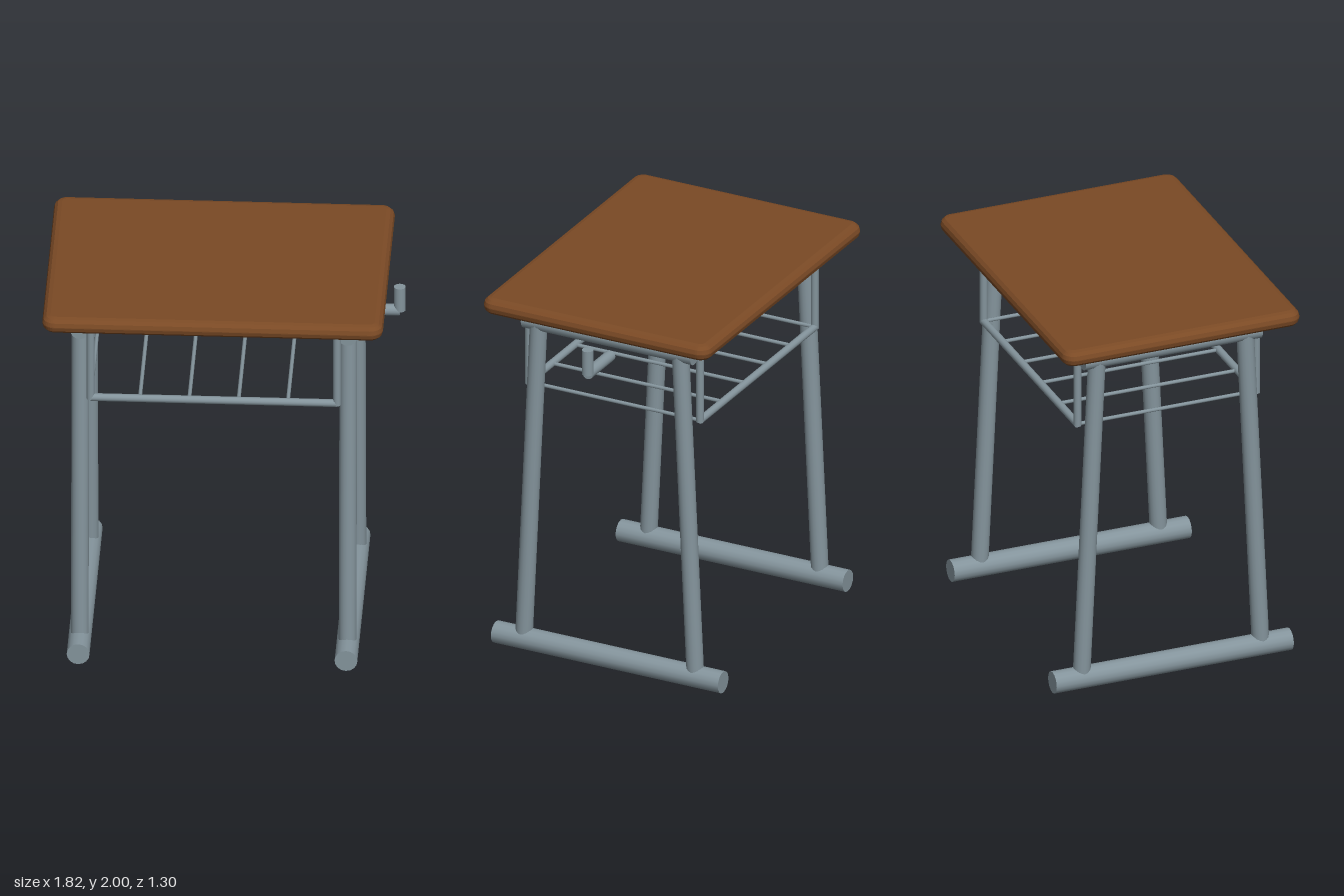
import * as THREE from 'three';

export function createModel() {
  const wood = new THREE.MeshStandardMaterial({ color: 0x7b4a25 });
  wood.name = 'brownWood';
  const steel = new THREE.MeshStandardMaterial({ color: 0x84949c });
  steel.name = 'greySteel';

  const desk = new THREE.Group();
  desk.name = 'desk';

  // Straight round bar between two points
  function bar(parent, name, a, b, radius, sides = 16) {
    const from = new THREE.Vector3(...a);
    const dir = new THREE.Vector3(...b).sub(from);
    const mesh = new THREE.Mesh(new THREE.CylinderGeometry(radius, radius, dir.length(), sides), steel);
    mesh.position.copy(from).addScaledVector(dir, 0.5);
    mesh.quaternion.setFromUnitVectors(new THREE.Vector3(0, 1, 0), dir.normalize());
    mesh.name = name;
    parent.add(mesh);
  }

  // Tabletop: rounded slab with a bevelled rim
  const bevel = 0.042, w = 0.865 - bevel, d = 0.65 - bevel, r = 0.025;
  const outline = new THREE.Shape();
  outline.absarc(w - r, d - r, r, 0, Math.PI / 2);
  outline.absarc(-w + r, d - r, r, Math.PI / 2, Math.PI);
  outline.absarc(-w + r, -d + r, r, Math.PI, Math.PI * 1.5);
  outline.absarc(w - r, -d + r, r, Math.PI * 1.5, Math.PI * 2);
  const slab = new THREE.ExtrudeGeometry(outline, {
    depth: 0.004, bevelThickness: 0.041, bevelSize: bevel, bevelSegments: 3, curveSegments: 4,
  });
  slab.rotateX(-Math.PI / 2);
  const top = new THREE.Mesh(slab, wood);
  top.name = 'tabletop';
  top.position.set(-0.045, 1.955, 0);
  desk.add(top);

  // Side frames: floor bar, two leaning legs and a top rail
  for (const [side, x] of [['left', 0.635], ['right', -0.725]]) {
    const frame = new THREE.Group();
    frame.name = side + 'Frame';
    bar(frame, 'floorBar', [x, 0.058, -0.65], [x, 0.058, 0.65], 0.058);
    bar(frame, 'topRail', [x, 1.85, -0.485], [x, 1.85, 0.485], 0.047);
    for (const s of [1, -1]) {
      bar(frame, s > 0 ? 'frontLeg' : 'backLeg', [x, 0.08, s * 0.49], [x, 1.875, s * 0.405], 0.045);
    }
    desk.add(frame);
  }

  // Wire book rack: posts, long rods and cross wires
  const rack = new THREE.Group();
  rack.name = 'bookRack';
  const x0 = -0.67, x1 = 0.582, rackY = 1.47;
  for (const z of [0.49, -0.49]) {
    bar(rack, 'rackRod', [x0, rackY, z], [x1, rackY, z], 0.02, 12);
    for (const x of [x0, x1]) bar(rack, 'rackPost', [x, 1.462, z], [x, 1.85, z], 0.02, 12);
  }
  for (let i = 0; i < 6; i++) {
    const x = x0 + (x1 - x0) * i / 5;
    bar(rack, 'rackWire', [x, rackY, -0.49], [x, rackY, 0.49], 0.01, 8);
  }
  desk.add(rack);

  // Bag hook at the left side
  const hook = new THREE.Group();
  hook.name = 'bagHook';
  bar(hook, 'hookArm', [0.63, 1.745, 0], [0.875, 1.745, 0], 0.03);
  bar(hook, 'hookTip', [0.875, 1.745, 0], [0.875, 1.88, 0], 0.03);
  desk.add(hook);

  return desk;
}
